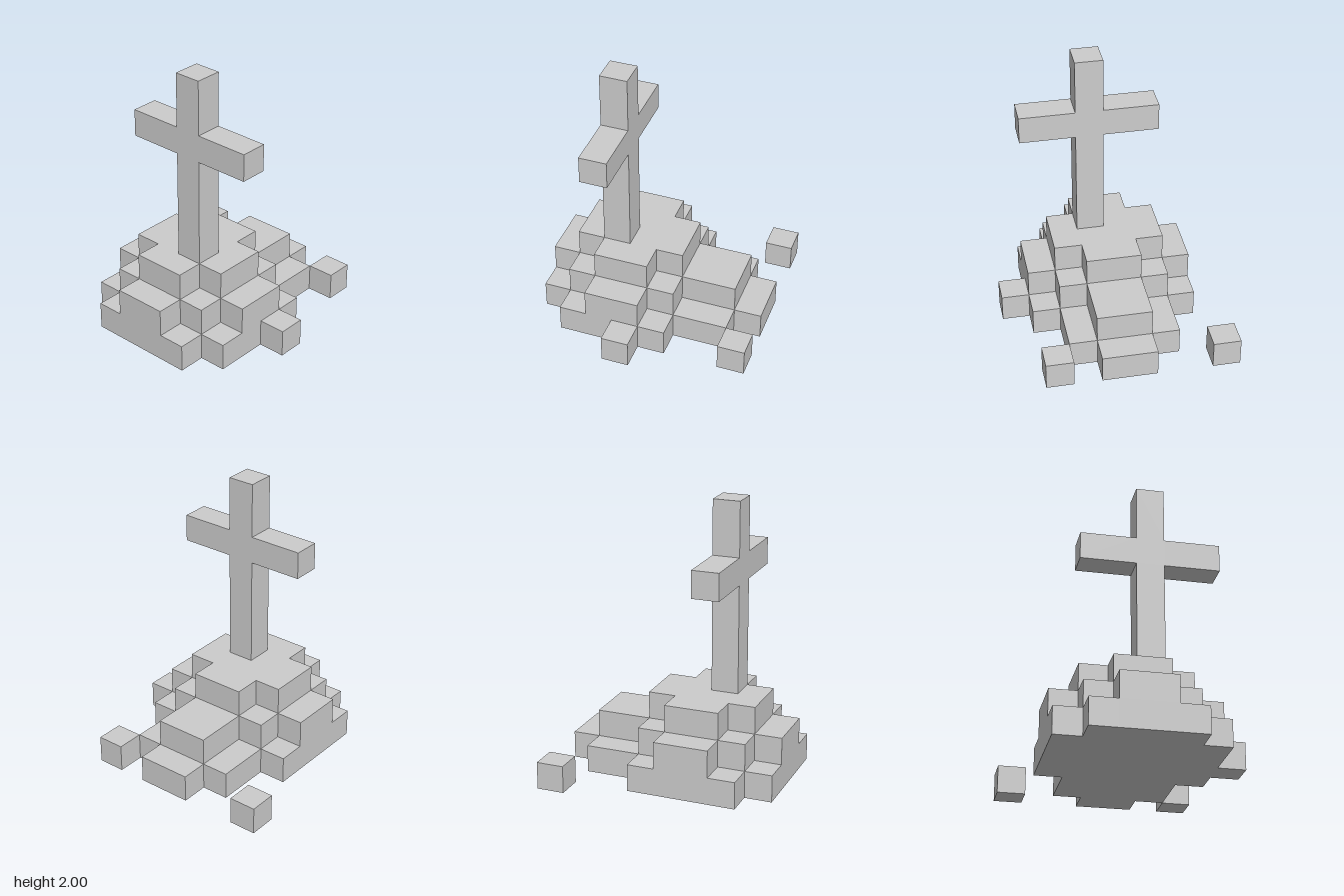
import * as THREE from 'three';

const U = 0.2; // edge length of one block
const material = new THREE.MeshStandardMaterial({ color: 0xcccccc, flatShading: true });

function extrude(points, depth) {
  const shape = new THREE.Shape(points.map(([a, b]) => new THREE.Vector2(a * U, b * U)));
  return new THREE.ExtrudeGeometry(shape, { depth: depth * U, bevelEnabled: false });
}

function addMesh(group, name, geometry) {
  const mesh = new THREE.Mesh(geometry, material);
  mesh.name = name;
  group.add(mesh);
  return mesh;
}

// One block-high layer from rows [zStart, zEnd, xMin, xMax], ordered back to front
function layerGeometry(rows) {
  const right = rows.flatMap(([z0, z1, , x]) => [[x, -z0], [x, -z1]]);
  const left = rows.flatMap(([z0, z1, x]) => [[x, -z0], [x, -z1]]).reverse();
  return extrude([...right, ...left], 1).rotateX(-Math.PI / 2);
}

export function createModel() {
  const model = new THREE.Group();
  model.name = 'crossOnMound';

  // Stepped mound, bottom layer first
  const layers = [
    ['moundBase', [[-3, -2, -3, 1], [-2, -1, -4, 3], [-1, 1, -4, 4], [1, 2, -4, 3], [2, 3, -3, 1], [3, 4, -1, 0]]],
    ['moundMiddle', [[-3, -2, -2, 0], [-2, -1, -3, 1], [-1, 1, -4, 3], [1, 2, -3, 1], [2, 3, -2, 0]]],
    ['moundTop', [[-2, -1, -2, 0], [-1, 1, -3, 1], [1, 2, -2, 0]]],
  ];
  layers.forEach(([name, rows], i) => {
    addMesh(model, name, layerGeometry(rows)).position.y = i * U;
  });

  // Upright cross with its arms running along z
  const outline = [
    [0, 3], [1, 3], [1, 7], [3, 7], [3, 8], [1, 8],
    [1, 10], [0, 10], [0, 8], [-2, 8], [-2, 7], [0, 7],
  ];
  const cross = addMesh(model, 'cross', extrude(outline, 1).rotateY(-Math.PI / 2));
  cross.position.x = -U;

  // Loose blocks on the ground
  [['looseBlockFront', 2.5], ['looseBlockBack', -3.5]].forEach(([name, z]) => {
    addMesh(model, name, new THREE.BoxGeometry(U, U, U)).position.set(3.5 * U, U / 2, z * U);
  });

  return model;
}
